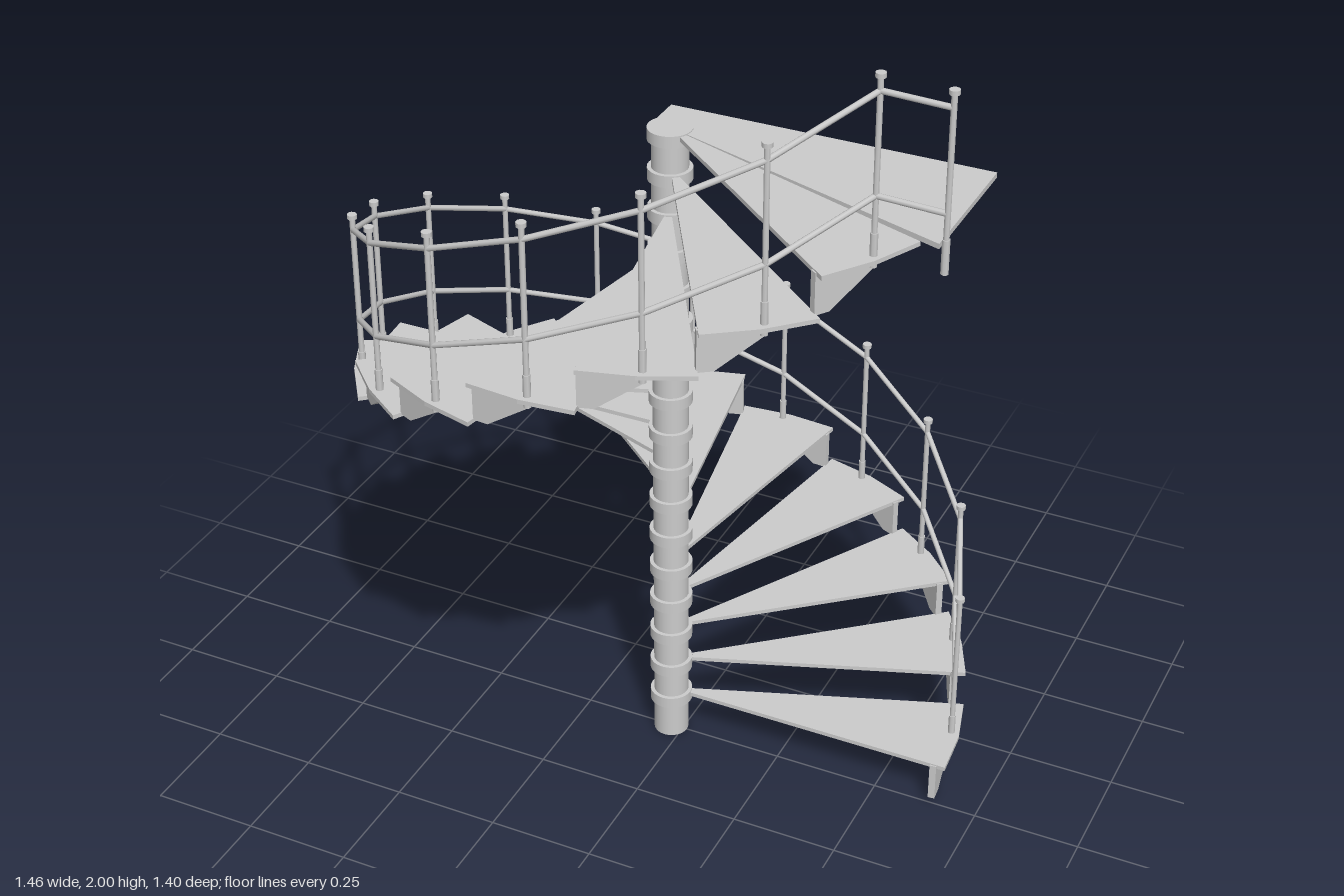
import * as THREE from 'three';

const STEP = THREE.MathUtils.degToRad(20);
const RISE = 0.0935;
const STEPS = 17;
const CX = -0.03;          // column axis
const POST_R = 0.68;       // radius of the line of posts
const POST_A = THREE.MathUtils.degToRad(11);
const topOf = k => 0.115 + RISE * k;

const mat = new THREE.MeshStandardMaterial({ color: 0xcccccc });
const flat = new THREE.MeshStandardMaterial({ color: 0xcccccc, flatShading: true });

function add(parent, name, geometry, material = mat) {
  const mesh = new THREE.Mesh(geometry, material);
  mesh.name = name;
  parent.add(mesh);
  return mesh;
}

function extrude(points, depth) {
  const shape = new THREE.Shape(points.map(p => new THREE.Vector2(p[0], p[1])));
  return new THREE.ExtrudeGeometry(shape, { depth, bevelEnabled: false });
}

// Horizontal slab whose outline is given as (x, -z), with its top at y = 0
function slab(points, thickness) {
  return extrude(points, thickness).rotateX(-Math.PI / 2).translate(0, -thickness, 0);
}

// Upright cylinder from y0 to y1
function upright(parent, name, r, y0, y1, x, z, sides) {
  const m = add(parent, name, new THREE.CylinderGeometry(r, r, y1 - y0, sides));
  m.position.set(x, (y0 + y1) / 2, z);
  return m;
}

// Round bar between two points
function bar(parent, name, a, b, r) {
  const d = b.clone().sub(a);
  const m = add(parent, name, new THREE.CylinderGeometry(r, r, d.length(), 8));
  m.position.copy(a).add(b).multiplyScalar(0.5);
  m.quaternion.setFromUnitVectors(new THREE.Vector3(0, 1, 0), d.normalize());
}

// Baluster with a sleeve at its foot and a small cap
function addPost(parent, x, z, foot, top) {
  const post = new THREE.Group();
  post.name = 'railPost';
  upright(post, 'postShaft', 0.0065, foot, top - 0.008, x, z, 8);
  upright(post, 'postSleeve', 0.0085, foot, foot + 0.075, x, z, 8);
  upright(post, 'postCap', 0.011, top - 0.01, top, x, z, 10);
  parent.add(post);
}

export function createModel() {
  const model = new THREE.Group();
  model.name = 'spiralStaircase';
  const topY = topOf(STEPS - 1);

  // Central column with a collar at every tread
  upright(model, 'column', 0.041, 0, topY, CX, 0, 24);
  for (let k = 0; k < STEPS; k++)
    upright(model, 'collar', 0.05, topOf(k) - 0.025, topOf(k) + 0.003, CX, 0, 24);

  // Wedge-shaped treads with a bracket plate hanging at the outer front corner
  const polar = (r, a) => [r * Math.cos(a), r * Math.sin(a)];
  const treadGeo = slab([
    polar(0.04, 0), polar(0.7, 0), polar(0.7, STEP / 2), polar(0.7, STEP), polar(0.04, STEP),
  ], 0.01);
  const bracketGeo = extrude([
    [0, 0], [0, -0.095], [0.035, -0.095], [0.137, -0.024], [0.137, 0],
  ], 0.016);
  for (let k = 0; k < STEPS; k++) {
    const step = new THREE.Group();
    step.name = 'step';
    step.position.set(CX, topOf(k), 0);
    step.rotation.y = k * STEP;
    add(step, 'tread', treadGeo, flat);
    const bracket = add(step, 'bracket', bracketGeo, flat);
    bracket.position.set(0.664, -0.003, 0.004);
    bracket.rotation.y = Math.PI / 2 + POST_A / 2;
    model.add(step);
  }

  // Landing at the top
  const landing = add(model, 'landing', slab([
    [-0.075, 0], [CX, 0], [0.665, -0.235], [0.665, 0.1], [-0.075, 0.1],
  ], 0.012), flat);
  landing.position.y = topY + 0.001;

  // Posts along the outer edge, plus one by the landing
  const tops = [];
  for (let k = 0; k < STEPS; k++) {
    const a = k * STEP + POST_A;
    const x = CX + POST_R * Math.cos(a), z = -POST_R * Math.sin(a);
    const top = topOf(k) + 0.39;
    addPost(model, x, z, topOf(k) - 0.025, top);
    tops.push(new THREE.Vector3(x, top, z));
  }
  const end = new THREE.Vector3(0.715, tops[STEPS - 1].y, 0.34);
  addPost(model, end.x, end.z, topY, end.y);
  tops.push(end);

  // Handrail and middle rail, straight between posts
  for (const [name, drop] of [['handrail', 0.038], ['middleRail', 0.26]]) {
    const pts = tops.map(p => p.clone().setY(p.y - drop));
    for (let i = 0; i + 1 < pts.length; i++) bar(model, name, pts[i], pts[i + 1], 0.0065);
  }
  return model;
}
